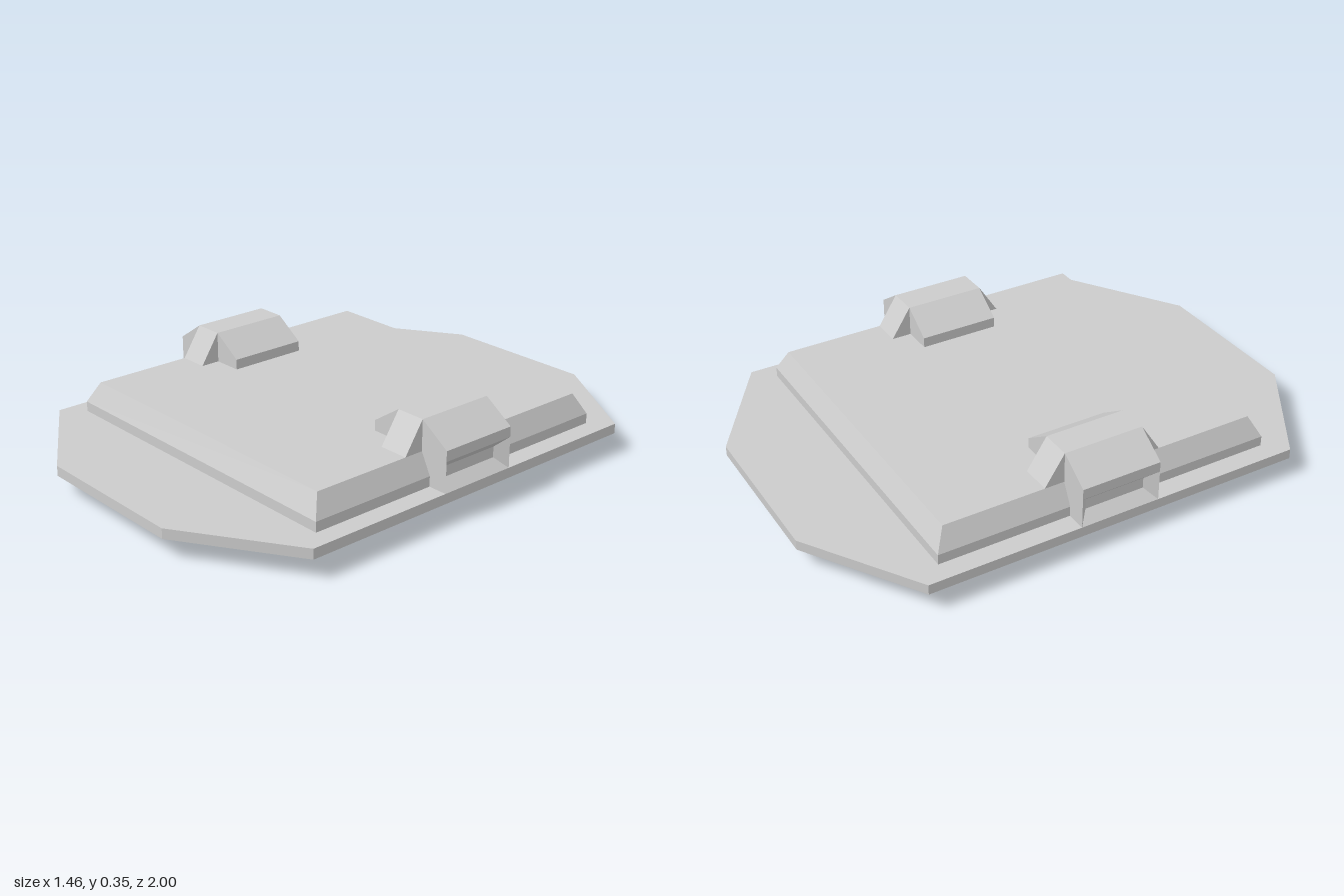
import * as THREE from 'three';

const material = new THREE.MeshStandardMaterial({ color: 0xcccccc, flatShading: true });

// Joins rings of corners into a faceted surface; rings run counter-clockwise about the outward axis.
function loft(name, rings, { start = true, end = true, skip = -1 } = {}) {
  const pos = [];
  const tri = (a, b, c) => pos.push(...a, ...b, ...c);
  const n = rings[0].length;
  for (let r = 0; r < rings.length - 1; r++) {
    const a = rings[r], b = rings[r + 1];
    for (let i = 0; i < n; i++) {
      if (i === skip) continue;
      const j = (i + 1) % n;
      tri(a[i], a[j], b[j]);
      tri(a[i], b[j], b[i]);
    }
  }
  const first = rings[0], last = rings[rings.length - 1];
  for (let i = 1; i < n - 1; i++) {
    if (start) tri(first[0], first[i + 1], first[i]);
    if (end) tri(last[0], last[i], last[i + 1]);
  }
  const g = new THREE.BufferGeometry();
  g.setAttribute('position', new THREE.Float32BufferAttribute(pos, 3));
  g.computeVertexNormals();
  const mesh = new THREE.Mesh(g, material);
  mesh.name = name;
  return mesh;
}

// Horizontal square ring of half-width s at height y
const square = (s, y) => [[s, y, s], [s, y, -s], [-s, y, -s], [-s, y, s]];

// Side profile in x and y, carried across the width of a clamp
const across = (profile, w) => [-w, w].map(z => profile.map(([x, y]) => [x, y, z]));

// Eight-sided plate, open in the middle for the pocket underneath
function makePlate() {
  const outline = [[0.73, -0.73], [0.73, 0.73], [0.31, 1], [-0.31, 1],
    [-0.73, 0.73], [-0.73, -0.73], [-0.31, -1], [0.31, -1]];
  const shape = new THREE.Shape(outline.map(p => new THREE.Vector2(...p)));
  const h = 0.54;
  shape.holes.push(new THREE.Path([[-h, -h], [-h, h], [h, h], [h, -h]].map(p => new THREE.Vector2(...p))));
  const g = new THREE.ExtrudeGeometry(shape, { depth: 0.038, bevelEnabled: false });
  g.rotateX(-Math.PI / 2);
  g.translate(0, 0.077, 0);
  const mesh = new THREE.Mesh(g, material);
  mesh.name = 'basePlate';
  return mesh;
}

// Clamp gripping the +x edge, with a jaw above and below
function makeClamp() {
  const clamp = new THREE.Group();
  const w = 0.154, inset = 0.038;

  const upper = [[0.62, 0.115], [0.73, 0.115], [0.73, 0.231], [0.73, 0.27],
    [0.615, 0.347], [0.5, 0.347], [0.385, 0.27], [0.385, 0.231]];
  clamp.add(loft('upperJaw', across(upper, w), { skip: 1 }));

  // The lower jaw rests against the roof of the pocket
  const lower = [[0.19, 0.115], [0.19, 0.077], [0.305, 0], [0.615, 0], [0.73, 0.077], [0.62, 0.115]];
  clamp.add(loft('lowerJaw', across(lower, w), { skip: 2 }));

  // Tapered recess in the outer side of the upper jaw
  const sideRing = (x, d) => [[x, 0.115 + d, w - d], [x, 0.115 + d, d - w],
    [x, 0.231 - d, d - w], [x, 0.231 - d, w - d]];
  clamp.add(loft('sideRecess', [sideRing(0.73, 0), sideRing(0.69, inset)], { start: false }));

  // Tapered recess in the bottom of the lower jaw
  const bottomRing = (y, d) => [[0.615 - d, y, w - d], [0.305 + d, y, w - d],
    [0.305 + d, y, d - w], [0.615 - d, y, d - w]];
  clamp.add(loft('bottomRecess', [bottomRing(0, 0), bottomRing(0.038, inset)], { start: false }));

  // Sloped ribs at both ends of the upper jaw
  for (const s of [1, -1]) {
    const rib = [[0.23, 0.231], [w, 0.231], [w, 0.347]];
    if (s < 0) rib.reverse();
    clamp.add(loft('rib', [0.5, 0.615].map(x => rib.map(([z, y]) => [x, y, s * z]))));
  }
  return clamp;
}

export function createModel() {
  const model = new THREE.Group();
  model.name = 'clampedPanel';
  model.add(makePlate());

  // Raised panel with bevelled top edges
  model.add(loft('raisedPanel', [square(0.655, 0.115), square(0.655, 0.153), square(0.615, 0.231)], { start: false }));

  // Sloped underside rim with the tapered pocket inside it
  model.add(loft('undersideRim',
    [square(0.5, 0.115), square(0.538, 0.038), square(0.577, 0.038), square(0.73, 0.077)], { end: false }));

  ['leftClamp', 'rightClamp'].forEach((name, i) => {
    const clamp = makeClamp();
    clamp.name = name;
    clamp.rotation.y = i * Math.PI;
    model.add(clamp);
  });
  return model;
}
